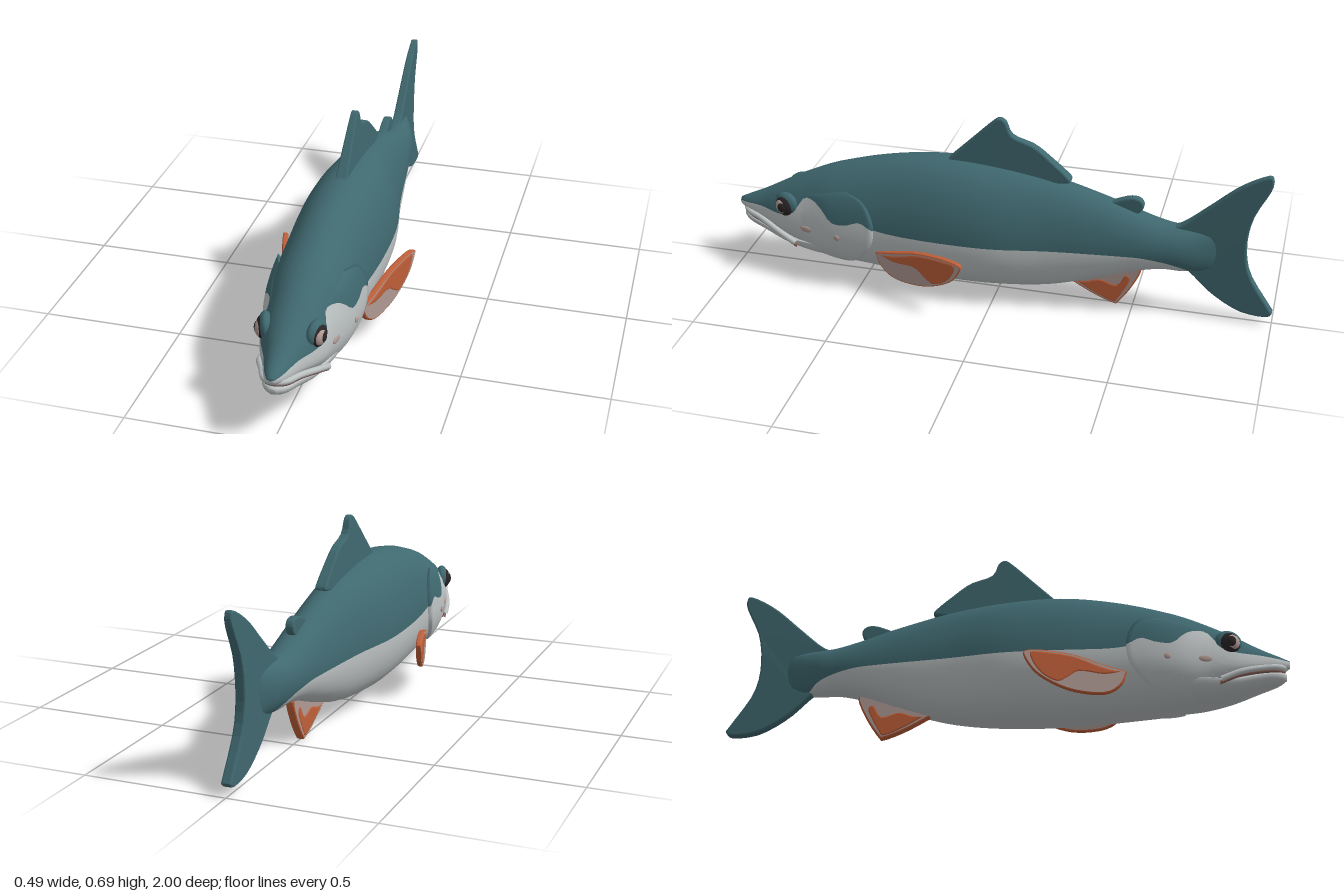
import * as THREE from 'three';

const mat = (name, color) => {
  const m = new THREE.MeshStandardMaterial({ color });
  m.name = name;
  return m;
};

// Smooth interpolation through rows [z, a, b, ...] sorted by falling z
function sample(rows, z) {
  let i = 0;
  while (i < rows.length - 2 && z < rows[i + 1][0]) i++;
  const p = rows[i], q = rows[i + 1], o = rows[Math.max(i - 1, 0)], r = rows[Math.min(i + 2, rows.length - 1)];
  const h = q[0] - p[0], t = THREE.MathUtils.clamp((z - p[0]) / h, 0, 1);
  return p.map((_, k) => {
    const m0 = (q[k] - o[k]) / (q[0] - o[0]) * h, m1 = (r[k] - p[k]) / (r[0] - p[0]) * h;
    const t2 = t * t, t3 = t2 * t;
    return (2 * t3 - 3 * t2 + 1) * p[k] + (t3 - 2 * t2 + t) * m0 + (3 * t2 - 2 * t3) * q[k] + (t3 - t2) * m1;
  });
}

// Body sections: z, bottom, top, half width, height of widest point
const BODY = [
  [1, .222, .248, .014, .235], [.97, .205, .262, .033, .23], [.9, .19, .295, .06, .22],
  [.8, .14, .35, .102, .21], [.7, .09, .40, .125, .21], [.6, .07, .44, .145, .22],
  [.4, .05, .495, .152, .235], [.2, .04, .52, .163, .24], [0, .042, .51, .159, .24],
  [-.2, .062, .48, .125, .24], [-.4, .122, .425, .1, .25], [-.5, .158, .39, .088, .26],
  [-.6, .18, .36, .075, .265], [-.68, .178, .35, .06, .265], [-.8, .19, .345, .012, .265],
];
// Height of the border between back and belly colours
const BORDER = [
  [1, .24], [.9, .25], [.79, .252], [.74, .29], [.71, .33], [.66, .325], [.63, .305], [.59, .268],
  [.53, .27], [.48, .285], [.43, .262], [.3, .252], [-.5, .25], [-.6, .235], [-.67, .21], [-.72, .175], [-.8, .17],
];
const JAW = [
  [.985, .175, .2, .015, .188], [.96, .16, .202, .04, .185], [.9, .14, .195, .062, .175],
  [.8, .108, .17, .092, .15], [.7, .085, .16, .115, .15], [.6, .078, .2, .128, .15],
];

// Point on a section at angle a (-90 deg bottom, +90 deg top)
function skin(rows, z, a, grow = 1) {
  const [, bot, top, w, yc] = sample(rows, z), s = Math.sin(a), c = Math.max(0, Math.cos(a));
  return [w * Math.pow(c, s < 0 ? 0.85 : 1) * grow, yc + s * (s > 0 ? top - yc : yc - bot) * grow, z];
}
function borderAngle(z) {
  const [, bot, top, , yc] = sample(BODY, z), d = sample(BORDER, z)[1] - yc;
  return Math.asin(THREE.MathUtils.clamp(d / (d > 0 ? top - yc : yc - bot), -1, 1));
}

// Grid surface; each column gets material 0 or 1
function grid(fn, nu, nv, wrap, flip, matOf) {
  const cols = wrap ? nv : nv + 1, pos = [], idx = [[], []];
  for (let i = 0; i <= nu; i++) for (let j = 0; j < cols; j++) pos.push(...fn(i, j));
  for (let j = 0; j < nv; j++) for (let i = 0; i < nu; i++) {
    const a = i * cols + j, b = a + cols, c = i * cols + (j + 1) % cols, d = c + cols;
    idx[matOf(j)].push(...(flip ? [a, c, b, b, c, d] : [a, b, c, b, d, c]));
  }
  const g = new THREE.BufferGeometry();
  g.setAttribute('position', new THREE.Float32BufferAttribute(pos, 3));
  g.setIndex([...idx[0], ...idx[1]]);
  g.addGroup(0, idx[0].length, 0);
  g.addGroup(idx[0].length, idx[1].length, 1);
  g.computeVertexNormals();
  return g;
}

// Closed loft with N columns below and N above the border on each side
function loft(rows, nu, split) {
  const N = 9, z0 = rows[0][0], z1 = rows[rows.length - 1][0];
  return grid((i, j) => {
    const z = THREE.MathUtils.lerp(z0, z1, THREE.MathUtils.clamp((i - 1) / (nu - 2), 0, 1));
    const k = j <= 2 * N ? j : 4 * N - j, A = split(z), H = Math.PI / 2;
    const a = k <= N ? -H + (A + H) * k / N : A + (H - A) * (k - N) / N;
    const p = skin(rows, z, a);
    if (i === 0 || i === nu) return [0, sample(rows, z)[4], z];
    return [j <= 2 * N ? p[0] : -p[0], p[1], z];
  }, nu, 4 * N, true, false, j => (j < N || j >= 3 * N ? 0 : 1));
}

// Gill cover standing slightly proud of the head, with a rounded rear edge
function gillCover(side) {
  const nu = 16, nv = 24;
  return grid((i, j) => {
    const v = j / nv * 2 - 1, u = Math.min(1, i / (nu - 1));
    const z = THREE.MathUtils.lerp(.72, .43 + (v > 0 ? .12 : .2) * v * v, u);
    const A = borderAngle(z), a = v > 0 ? A + (.75 - A) * v : A + (A + 1.2) * v;
    const grow = i === nu ? .94 : .995 + .085 * Math.sin(u * Math.PI / 2) * (1 - .7 * v ** 4);
    const p = skin(BODY, z, a, grow);
    return [side * p[0], p[1], z];
  }, nu, nv, false, side < 0, j => (j < nv / 2 ? 0 : 1));
}

// Fin blade drawn as (z, y) points, thinning from y0 to y1
function blade(pts, thick, { y0 = 0, y1 = 1, tip = 1, place = () => 0 } = {}) {
  const v = pts.map(p => new THREE.Vector2(...p));
  const shape = new THREE.Shape();
  shape.moveTo(v[0].x, v[0].y);
  shape.splineThru([...v.slice(1), v[0]]);
  const b = Math.min(.006, thick / 4);
  const g = new THREE.ExtrudeGeometry(shape, {
    depth: thick - 2 * b, bevelThickness: b, bevelSize: b, bevelOffset: -b, bevelSegments: 2, curveSegments: 3,
  });
  g.translate(0, 0, b - thick / 2).rotateY(-Math.PI / 2);
  const p = g.attributes.position;
  for (let i = 0; i < p.count; i++) {
    const t = THREE.MathUtils.clamp((p.getY(i) - y0) / (y1 - y0), 0, 1);
    p.setX(i, p.getX(i) * (1 + (tip - 1) * t) + place(p.getZ(i)));
  }
  g.computeVertexNormals();
  return g;
}

export function createModel() {
  const teal = mat('back teal', 0x3f686f), white = mat('belly white', 0xbcc1c2);
  const orange = mat('fin orange', 0xbf5f39), pink = mat('fin pink', 0xb09a94);
  const dark = mat('eye dark', 0x2a2426), brown = mat('mouth brown', 0x875f57);
  const group = new THREE.Group();
  const add = (name, geo, m) => {
    const mesh = new THREE.Mesh(geo, m);
    mesh.name = name;
    group.add(mesh);
    return mesh;
  };
  const ball = (name, m, pos, size, ry = 0) => {
    const b = add(name, new THREE.SphereGeometry(1, 20, 14), m);
    b.position.set(...pos);
    b.scale.set(...size);
    b.rotation.y = ry;
  };

  add('body', loft(BODY, 90, borderAngle), [white, teal]);
  add('lowerJaw', loft(JAW, 24, () => 0), [white, white]);

  // Upper lip and the dark line of the mouth
  const lip = [[-.112, .143, .75], [-.097, .175, .82], [-.062, .201, .9], [-.034, .213, .96], [0, .22, .98],
    [.034, .213, .96], [.062, .201, .9], [.097, .175, .82], [.112, .143, .75]];
  const mouthTube = (dy, s, r) => new THREE.TubeGeometry(
    new THREE.CatmullRomCurve3(lip.map(([x, y, z]) => new THREE.Vector3(x * s, y + dy, z - (1 - s) * .2))), 40, r, 8);
  add('upperLip', mouthTube(0, 1, .011), white);
  add('mouthLine', mouthTube(-.013, .97, .007), brown);

  // Single fins on the centre line
  add('dorsalFin', blade([[.2, .5], [.1, .6], [.03, .67], [0, .692], [-.025, .68], [-.05, .63], [-.13, .6],
    [-.2, .545], [-.24, .51], [-.262, .485], [-.24, .473], [-.1, .46], [.05, .47]], .044,
  { y0: .5, y1: .69, tip: .55 }), teal);
  add('adiposeFin', blade([[-.4, .415], [-.47, .443], [-.51, .44], [-.524, .415], [-.505, .385], [-.45, .38]], .03), teal);
  add('tailFin', blade([[-.6, .345], [-.66, .362], [-.75, .44], [-.85, .53], [-.94, .582], [-.96, .57], [-.955, .53], [-.905, .42],
    [-.89, .3], [-.91, .19], [-.985, .07], [-.998, .045], [-.97, .03], [-.88, .042], [-.78, .1], [-.7, .175], [-.64, .22]],
  .036, { y0: .35, y1: .58, tip: .7 }), teal);
  add('analFin', blade([[-.25, .09], [-.35, .035], [-.43, .004], [-.45, .012], [-.495, .08], [-.527, .155], [-.5, .172],
    [-.42, .165], [-.32, .12]], .03), [pink, orange]);
  add('analFinPatch', blade([[-.29, .08], [-.36, .04], [-.43, .012], [-.45, .03], [-.49, .11], [-.47, .13], [-.44, .085],
    [-.38, .1], [-.33, .085]], .034), orange);

  for (const s of [1, -1]) {
    const side = s > 0 ? 'left' : 'right';
    add(side + 'GillCover', gillCover(s), [white, teal]);

    // Pectoral fin swept out and back
    const place = z => s * (.135 + (.43 - z) * .29);
    add(side + 'PectoralFin', blade([[.43, .17], [.35, .19], [.25, .218], [.15, .226], [.09, .22], [.08, .2], [.12, .14],
      [.2, .095], [.28, .078], [.36, .083], [.41, .12]], .02, { place }), [pink, orange]);
    add(side + 'PectoralPatch', blade([[.41, .165], [.34, .18], [.25, .21], [.15, .218], [.1, .21], [.13, .145],
      [.19, .11], [.23, .13], [.27, .155], [.35, .15]], .024, { place }), orange);

    // Eye: socket, eyeball, iris ring and pupil
    ball(side + 'EyeSocket', teal, [s * .084, .29, .785], [.024, .046, .05], s * -.3);
    ball(side + 'Eyeball', dark, [s * .094, .285, .79], [.021, .039, .037], s * -.3);
    ball(side + 'Iris', pink, [s * .099, .285, .797], [.0175, .03, .028], s * -.3);
    ball(side + 'Pupil', dark, [s * .105, .285, .795], [.0145, .023, .021], s * -.3);

    // Pink cheek marks
    ball(side + 'CheekMark', pink, [s * .126, .216, .7], [.004, .012, .024], s * -.2);
    ball(side + 'GillMark', pink, [s * .159, .216, .57], [.004, .011, .012], s * -.15);
  }
  return group;
}
